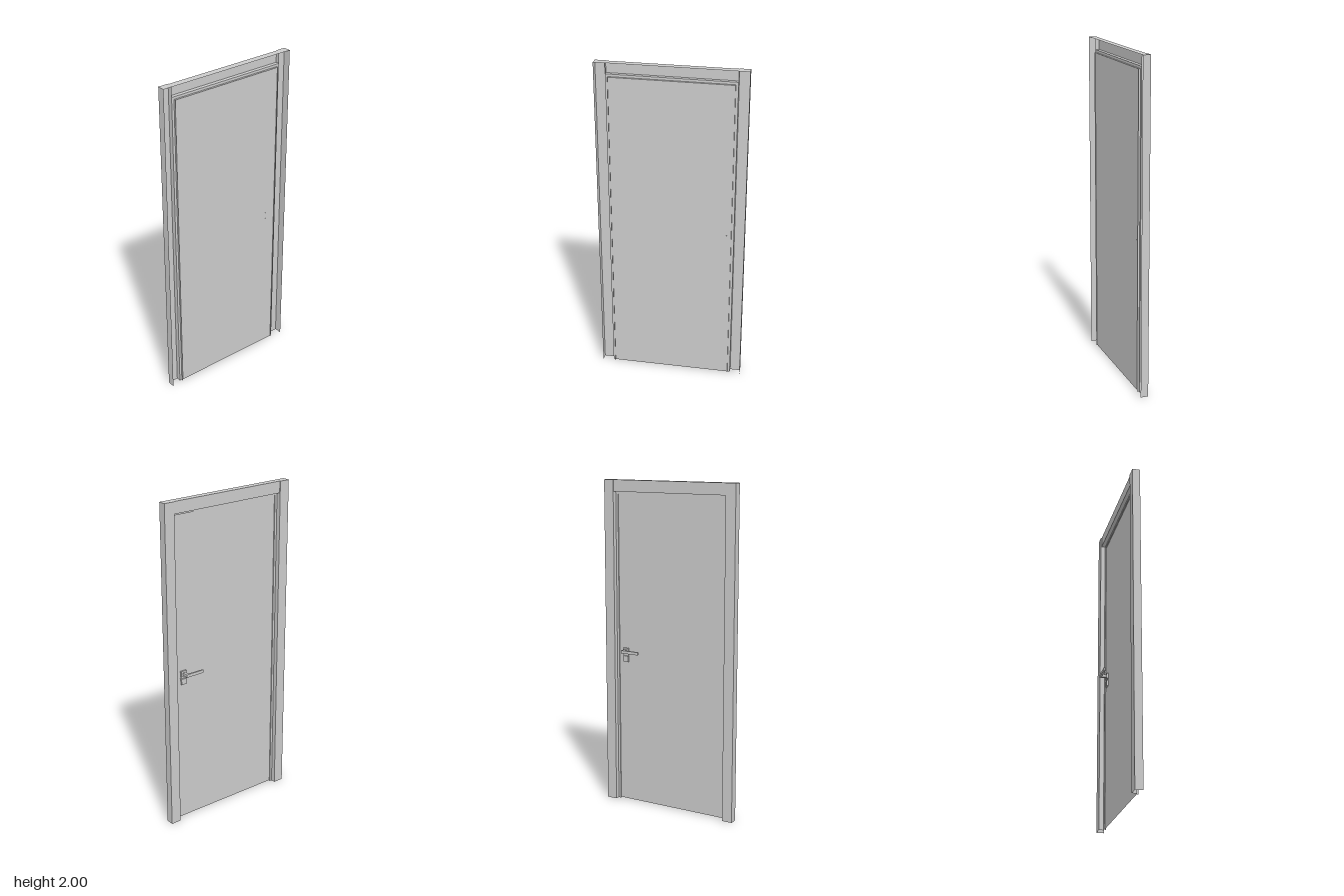
import * as THREE from 'three';

const sheetMat = new THREE.MeshStandardMaterial({ color: 0xcccccc, side: THREE.DoubleSide });
const solidMat = new THREE.MeshStandardMaterial({ color: 0xcccccc });

// Faceted sheet through a list of cross-sections, each a list of [x, y, z]
function loft(name, sections) {
  const pos = [];
  for (let i = 0; i + 1 < sections.length; i++) {
    const a = sections[i], b = sections[i + 1];
    for (let j = 0; j + 1 < a.length; j++) {
      pos.push(...a[j], ...b[j], ...b[j + 1], ...a[j], ...b[j + 1], ...a[j + 1]);
    }
  }
  const geo = new THREE.BufferGeometry();
  geo.setAttribute('position', new THREE.Float32BufferAttribute(pos, 3));
  geo.computeVertexNormals();
  const mesh = new THREE.Mesh(geo, sheetMat);
  mesh.name = name;
  return mesh;
}

function box(name, x0, x1, y0, y1, z0, z1) {
  const mesh = new THREE.Mesh(new THREE.BoxGeometry(x1 - x0, y1 - y0, z1 - z0), solidMat);
  mesh.position.set((x0 + x1) / 2, (y0 + y1) / 2, (z0 + z1) / 2);
  mesh.name = name;
  return mesh;
}

export function createModel() {
  const model = new THREE.Group();
  model.name = 'doorWithFrame';
  const H = 2, outer = 0.442, inner = 0.378, openTop = 1.93;
  const back = 0.031, front = -0.016, lintelFront = -0.011, rebate = 0.012, stopEnd = 0.024;
  const doorX = 0.018;

  // Hollow jambs, open towards the wall and at the bottom
  for (const s of [1, -1]) {
    const profile = [[back, outer], [front, outer], [front, inner], [rebate, inner]];
    const jamb = new THREE.Group();
    jamb.name = s > 0 ? 'frontJamb' : 'backJamb';
    jamb.add(loft('jambCasing', [0, H].map(y => profile.map(([x, z]) => [x, y, s * z]))));
    jamb.add(loft('jambCap', [front, back].map(x => [[x, H, s * inner], [x, H, s * outer]])));
    model.add(jamb);
  }

  // Hollow lintel between the jambs
  const lintel = [[back, H], [lintelFront, H], [lintelFront, openTop], [rebate, openTop]];
  model.add(loft('lintel', [inner, -inner].map(z => lintel.map(([x, y]) => [x, y, z]))));

  // Mitred door stop around the opening: [x, inset]
  const stop = [[rebate, 0], [rebate, 0.015], [stopEnd, 0.015]];
  const corners = [[1, 0], [1, 1], [-1, 1], [-1, 0]];
  model.add(loft('doorStop', corners.map(([s, top]) =>
    stop.map(([x, i]) => [x, top * (openTop - i), s * (inner - i)]))));

  // Door leaf
  model.add(loft('doorLeaf', [0.004, openTop - 0.015].map(y =>
    [[doorX, y, inner - 0.015], [doorX, y, 0.015 - inner]])));

  // Lever handle with its rose and keyhole plate
  const handle = new THREE.Group();
  handle.name = 'handle';
  handle.add(
    box('lever', -0.033, -0.022, 0.952, 0.97, -0.323, -0.204),
    box('neck', -0.022, doorX, 0.953, 0.969, -0.323, -0.307),
    box('rose', 0.008, doorX, 0.943, 0.979, -0.333, -0.297),
    box('keyholePlate', 0.008, doorX, 0.893, 0.929, -0.333, -0.297)
  );
  // Fixing pins showing through the leaf
  for (const y of [0.935, 0.975]) for (const z of [-0.335, -0.298]) {
    const pin = new THREE.Mesh(new THREE.CylinderGeometry(0.002, 0.002, 0.008, 8), solidMat);
    pin.rotation.z = Math.PI / 2;
    pin.position.set(doorX - 0.003, y, z);
    pin.name = 'fixingPin';
    handle.add(pin);
  }
  model.add(handle);
  return model;
}
